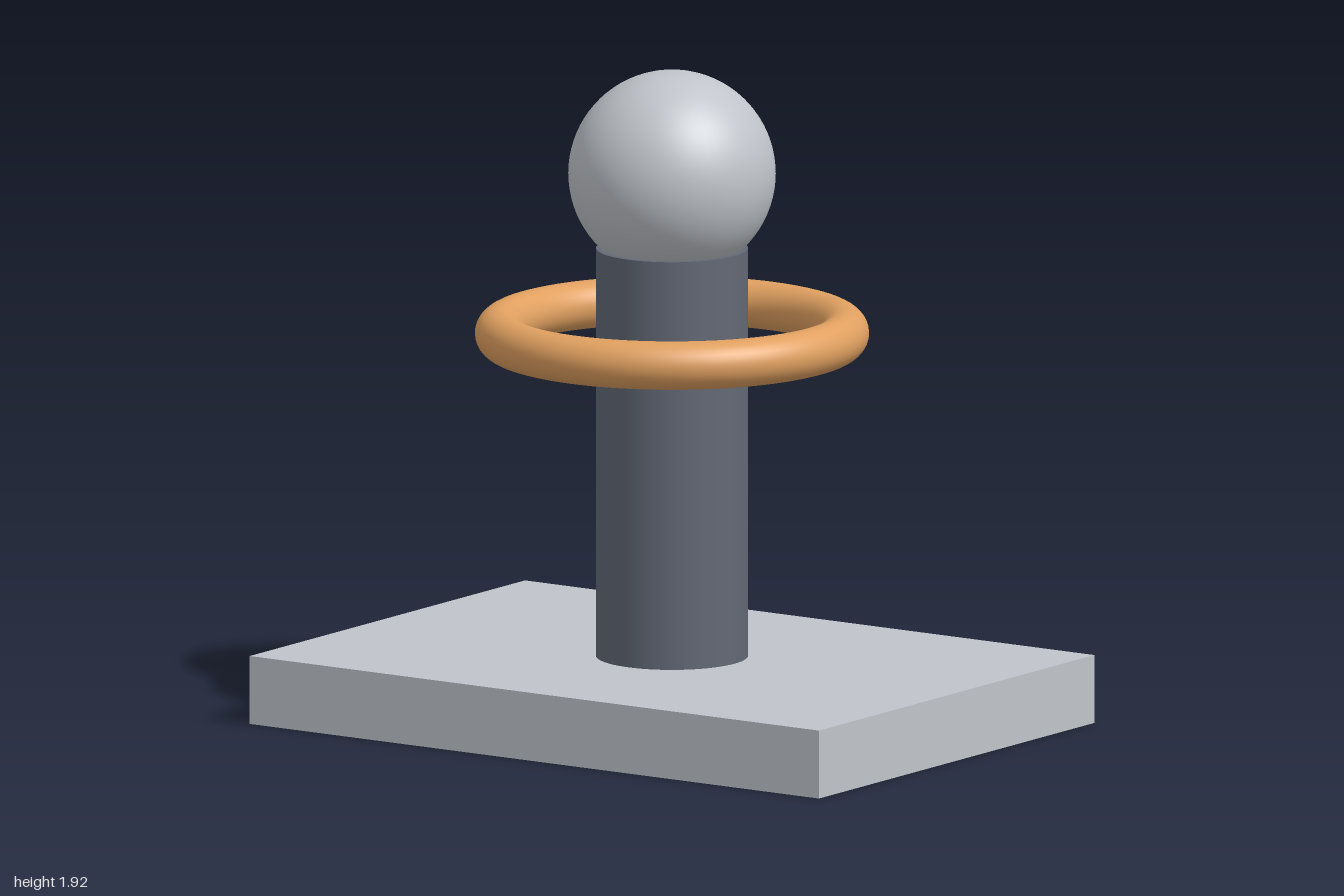
import * as THREE from 'three';

function material(name, color) {
  const m = new THREE.MeshStandardMaterial({ color });
  m.name = name;
  return m;
}

export function createModel() {
  const model = new THREE.Group();
  model.name = 'ringOnPost';

  const lightGrey = material('lightGrey', 0xc0c4ca);
  const slate = material('slate', 0x626875);
  const orange = material('orange', 0xe0a060);

  const add = (name, geometry, mat, y) => {
    const mesh = new THREE.Mesh(geometry, mat);
    mesh.name = name;
    mesh.position.y = y;
    model.add(mesh);
  };

  // Flat rectangular plinth
  add('base', new THREE.BoxGeometry(2, 0.2, 1.4), lightGrey, 0.1);

  // Round post standing on the plinth
  add('post', new THREE.CylinderGeometry(0.22, 0.22, 1.2, 64), slate, 0.8);

  // Ball sunk slightly into the top of the post
  add('ball', new THREE.SphereGeometry(0.3, 64, 40), lightGrey, 1.62);

  // Ring floating level around the post
  const ring = new THREE.TorusGeometry(0.5, 0.07, 32, 96).rotateX(Math.PI / 2);
  add('ring', ring, orange, 1.15);

  return model;
}
